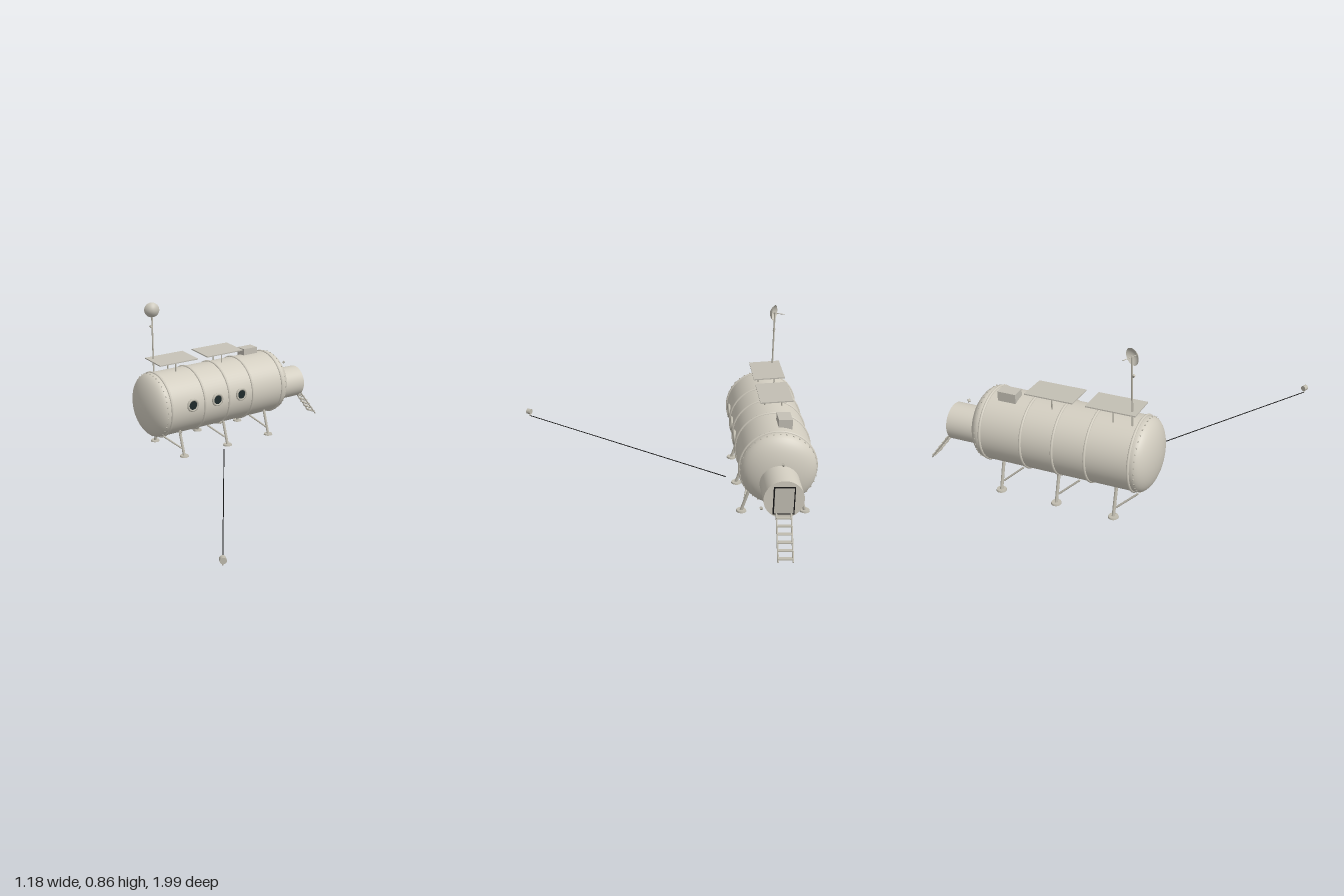
import * as THREE from 'three';

const mat = (name, color, extra = {}) => {
  const m = new THREE.MeshStandardMaterial({ color, ...extra });
  m.name = name;
  return m;
};

export function createModel() {
  const shell = mat('shell', 0xd2cdc0);
  const metal = mat('metal', 0xbfbbae);
  const panelMat = mat('panel', 0xc4c0b5);
  const dishMat = mat('dishShell', 0xc8c4b8, { side: THREE.DoubleSide });
  const glass = mat('glass', 0x1e2a2b);
  const black = mat('black', 0x161616);

  const model = new THREE.Group();
  model.name = 'habitat';
  // Module frame: x along the hull, z toward the window side
  const module = new THREE.Group();
  module.name = 'module';
  module.position.set(-0.12, 0, -0.607);
  module.rotation.y = THREE.MathUtils.degToRad(27);
  model.add(module);

  const add = (name, geo, material, pos = [0, 0, 0], parent = module) => {
    const m = new THREE.Mesh(geo, material);
    m.name = name;
    m.position.set(...pos);
    parent.add(m);
    return m;
  };
  const UP = new THREE.Vector3(0, 1, 0);
  const rod = (name, from, to, r, material = metal, parent = module, sides = 10) => {
    const a = new THREE.Vector3(...from), b = new THREE.Vector3(...to);
    const dir = b.clone().sub(a);
    const m = add(name, new THREE.CylinderGeometry(r, r, dir.length(), sides), material,
      a.clone().add(b).multiplyScalar(0.5).toArray(), parent);
    m.quaternion.setFromUnitVectors(UP, dir.normalize());
    return m;
  };

  // Pressure hull with domed ends
  const R = 0.183, HALF = 0.4, DOME = 0.08, CY = 0.285;
  const profile = [];
  for (let i = 0; i <= 12; i++) {
    const t = (i / 12) * Math.PI / 2;
    profile.push(new THREE.Vector2(R * Math.sin(t), -HALF - DOME * Math.cos(t)));
  }
  for (let i = 12; i >= 0; i--) {
    const t = (i / 12) * Math.PI / 2;
    profile.push(new THREE.Vector2(R * Math.sin(t), HALF + DOME * Math.cos(t)));
  }
  add('hull', new THREE.LatheGeometry(profile, 64), shell, [0, CY, 0]).rotation.z = -Math.PI / 2;

  // Hoops around the hull
  for (const x of [-0.385, -0.167, 0, 0.167, 0.385]) {
    add('hoop', new THREE.TorusGeometry(R, 0.007, 8, 64), shell, [x, CY, 0]).rotation.y = Math.PI / 2;
  }
  // Bolts beside the end hoops
  const boltGeo = new THREE.BoxGeometry(0.006, 0.004, 0.006);
  for (const x of [-0.412, 0.412]) {
    for (let i = 0; i < 36; i++) {
      const t = (i / 36) * Math.PI * 2;
      add('bolt', boltGeo, metal, [x, CY + 0.182 * Math.cos(t), 0.182 * Math.sin(t)]).rotation.x = t;
    }
  }

  // Portholes
  for (const x of [-0.252, -0.085, 0.082]) {
    add('portholeRim', new THREE.TorusGeometry(0.031, 0.007, 10, 32), metal, [x, 0.302, 0.184]);
    add('portholeCollar', new THREE.CylinderGeometry(0.032, 0.032, 0.02, 32), metal,
      [x, 0.302, 0.175]).rotation.x = Math.PI / 2;
    add('portholeGlass', new THREE.CircleGeometry(0.028, 32), glass, [x, 0.302, 0.187]);
  }

  // Airlock tube and door
  const AY = 0.242;
  add('airlock', new THREE.CylinderGeometry(0.094, 0.094, 0.25, 48), shell,
    [0.505, AY, 0]).rotation.z = -Math.PI / 2;
  add('doorSeal', new THREE.BoxGeometry(0.006, 0.138, 0.1), black, [0.631, AY - 0.004, 0]);
  add('door', new THREE.BoxGeometry(0.01, 0.126, 0.088), panelMat, [0.633, AY - 0.004, 0]);

  // Ladder
  const top = [0.645, 0.178], foot = [0.778, 0.003];
  for (const z of [-0.034, 0.034]) {
    rod('ladderRail', [top[0], top[1], z], [foot[0], foot[1], z], 0.004);
  }
  for (let i = 0; i < 6; i++) {
    const t = (i + 0.5) / 6;
    add('ladderTread', new THREE.BoxGeometry(0.02, 0.004, 0.068), metal,
      [top[0] + (foot[0] - top[0]) * t, top[1] + (foot[1] - top[1]) * t, 0]);
  }

  // Legs with pads and diagonal braces
  for (const x of [-0.3, 0, 0.3]) {
    for (const s of [-1, 1]) {
      rod('leg', [x, 0.005, s * 0.157], [x, 0.15, s * 0.112], 0.008);
      rod('legBrace', [x - 0.01, 0.05, s * 0.143], [x - 0.11, 0.135, s * 0.115], 0.005);
      add('footPad', new THREE.CylinderGeometry(0.024, 0.026, 0.008, 24), metal, [x, 0.004, s * 0.157]);
    }
  }

  // Tilted roof panels on posts
  for (const x of [-0.263, 0.051]) {
    add('roofPanel', new THREE.BoxGeometry(0.25, 0.006, 0.16), panelMat,
      [x, 0.53, -0.01]).rotation.x = 0.07;
    for (const z of [-0.052, 0.032]) rod('panelPost', [x, 0.45, z], [x, 0.528, z], 0.004);
  }

  // Roof equipment box
  add('roofBox', new THREE.BoxGeometry(0.096, 0.06, 0.066), panelMat, [0.286, 0.475, -0.034]);

  // Small lamps
  for (const p of [[0.542, 0.374, 0], [0.593, 0.178, 0.097], [-0.3, 0.135, 0.125], [-0.025, 0.135, 0.125]]) {
    const lamp = add('lamp', new THREE.CylinderGeometry(0.007, 0.007, 0.014, 12), metal, p);
    lamp.rotation.set(0.5, 0, -0.6);
  }

  // Mast and dish antenna
  rod('mast', [-0.462, 0.45, -0.49], [-0.462, 0.82, -0.49], 0.0045, metal, model);
  add('mastLamp', new THREE.CylinderGeometry(0.006, 0.006, 0.014, 12), metal,
    [-0.47, 0.722, -0.487], model).rotation.z = 0.7;
  const bowl = [];
  for (let i = 0; i <= 8; i++) {
    const r = 0.042 * i / 8;
    bowl.push(new THREE.Vector2(r, 0.024 * (i / 8) ** 2));
  }
  const dish = new THREE.Group();
  dish.name = 'dish';
  dish.position.set(-0.462, 0.816, -0.464);
  dish.rotation.x = -Math.PI / 2;
  model.add(dish);
  add('dishBowl', new THREE.LatheGeometry(bowl, 36), dishMat, [0, 0, 0], dish);
  rod('dishFeed', [0, 0, 0], [0, 0.078, 0], 0.002, metal, dish);

  // Ground cable to a remote sensor
  rod('cable', [-0.08, 0.004, -0.395], [-0.29, 0.004, 0.98], 0.0025, black, model, 6);
  add('remoteSensor', new THREE.CylinderGeometry(0.016, 0.016, 0.026, 20), metal,
    [-0.29, 0.031, 0.986], model).rotation.x = Math.PI / 2;
  rod('sensorStem', [-0.29, 0.002, 0.982], [-0.29, 0.02, 0.982], 0.003, metal, model);

  return model;
}
